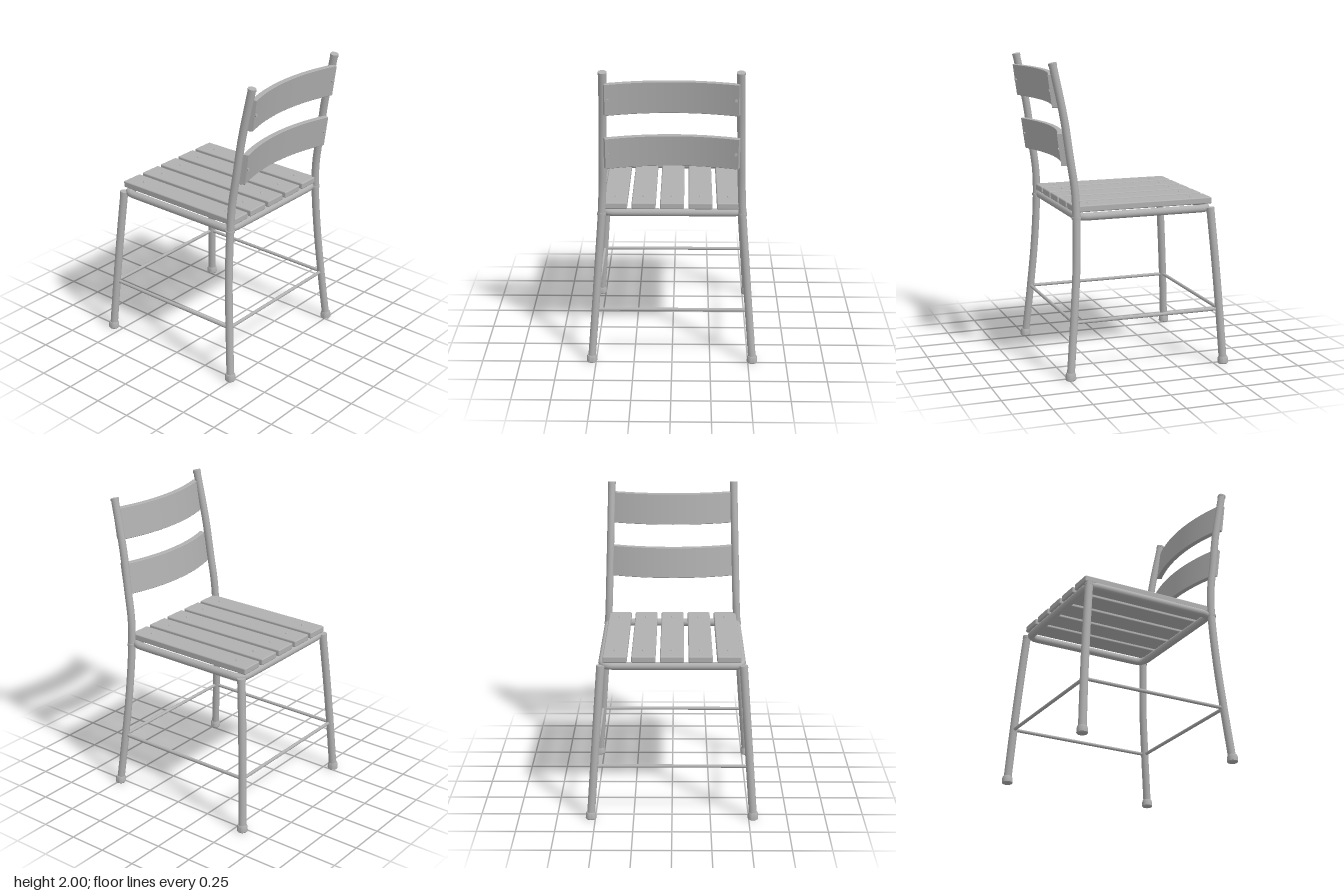
import * as THREE from 'three';
import { RoundedBoxGeometry } from 'three/addons/geometries/RoundedBoxGeometry.js';
import { toCreasedNormals } from 'three/addons/utils/BufferGeometryUtils.js';

const V = (x, y, z) => new THREE.Vector3(x, y, z);
const UP = V(0, 1, 0);

export function createModel() {
  const chair = new THREE.Group();
  chair.name = 'chair';
  const grey = new THREE.MeshStandardMaterial({ color: 0xb0b0b0 });
  grey.name = 'grey';

  const add = (name, geometry, position) => {
    const mesh = new THREE.Mesh(geometry, grey);
    mesh.name = name;
    if (position) mesh.position.copy(position);
    chair.add(mesh);
    return mesh;
  };

  // Straight cylinder between two points
  const rod = (name, a, b, r, sides = 20) => {
    const mesh = add(name, new THREE.CylinderGeometry(r, r, a.distanceTo(b), sides), a.clone().lerp(b, 0.5));
    mesh.quaternion.setFromUnitVectors(UP, b.clone().sub(a).normalize());
    return mesh;
  };

  // Bent tube leg with a rubber foot and an end cap
  const leg = (name, points, r) => {
    const curve = new THREE.CatmullRomCurve3(points);
    add(name, new THREE.TubeGeometry(curve, 48, r, 20));
    const p = points[0];
    const profile = [[0, 0], [0.03, 0], [0.035, 0.006], [0.034, 0.034], [0.029, 0.048], [0.02, 0.048]];
    const foot = new THREE.LatheGeometry(profile.map(([x, y]) => new THREE.Vector2(x, y)), 24);
    add(name + 'Foot', toCreasedNormals(foot, 0.7), V(p.x, 0, p.z));
    const end = points[points.length - 1];
    rod(name + 'Cap', end.clone().addScaledVector(curve.getTangent(1), -0.016), end, r + 0.002, 24);
  };

  for (const s of [1, -1]) {
    const side = s > 0 ? 'left' : 'right';
    leg(side + 'FrontLeg', [
      V(-0.56, 0.02, 0.528 * s), V(-0.54, 0.36, 0.503 * s), V(-0.516, 0.7, 0.478 * s), V(-0.488, 1.035, 0.453 * s),
    ], 0.026);
    leg(side + 'BackPost', [
      V(0.49, 0.02, 0.528 * s), V(0.458, 0.36, 0.5 * s), V(0.431, 0.7, 0.474 * s), V(0.421, 1.02, 0.449 * s),
      V(0.427, 1.2, 0.44 * s), V(0.455, 1.4, 0.434 * s), V(0.49, 1.65, 0.426 * s), V(0.56, 1.994, 0.417 * s),
    ], 0.025);
    rod(side + 'PostCollar', V(0.421, 1.016, 0.449 * s), V(0.421, 1.032, 0.449 * s), 0.029, 24);
    rod(side + 'Stretcher', V(-0.54, 0.365, 0.5 * s), V(0.458, 0.365, 0.5 * s), 0.011);
  }
  for (const [name, x] of [['frontStretcher', -0.54], ['backStretcher', 0.458]]) {
    rod(name, V(x, 0.365, -0.5), V(x, 0.365, 0.5), 0.011);
  }

  // Rounded tube frame below the seat
  const [x0, x1, z, c] = [-0.481, 0.412, 0.446, 0.07];
  const frame = new THREE.CurvePath();
  const corners = [V(x0, 1.03, -z), V(x1, 1.03, -z), V(x1, 1.03, z), V(x0, 1.03, z)];
  corners.forEach((p, i) => {
    const toward = (q) => p.clone().addScaledVector(q.clone().sub(p).normalize(), c);
    const previous = corners[(i + 3) % 4], next = corners[(i + 1) % 4];
    const exit = toward(next);
    frame.add(new THREE.QuadraticBezierCurve3(toward(previous), p, exit));
    frame.add(new THREE.LineCurve3(exit, next.clone().addScaledVector(p.clone().sub(next).normalize(), c)));
  });
  add('seatFrame', new THREE.TubeGeometry(frame, 160, 0.025, 16, true));

  // Seat slats, each with two screw heads
  for (let i = -2; i <= 2; i++) {
    const sz = i * 0.181;
    add('seatSlat', new RoundedBoxGeometry(0.937, 0.043, 0.153, 2, 0.008), V(-0.037, 1.078, sz));
    for (const sx of [-0.386, 0.314]) {
      const head = new THREE.SphereGeometry(0.011, 16, 6, 0, Math.PI * 2, 0, Math.PI / 2);
      add('seatScrew', head, V(sx, 1.098, sz)).scale.y = 0.8;
    }
  }

  // Backrest slats fixed behind the posts and bowed toward the seat
  const backSlat = (name, x, y, halfAngle) => {
    const outer = 1.27, inner = 1.24, h = 0.207, bevel = 0.003, slope = 0.135;
    const shape = new THREE.Shape();
    shape.absarc(outer, 0, outer, Math.PI - halfAngle, Math.PI + halfAngle, false);
    shape.absarc(outer, 0, inner, Math.PI + halfAngle, Math.PI - halfAngle, true);
    shape.closePath();
    const geometry = new THREE.ExtrudeGeometry(shape, {
      depth: h - 2 * bevel, curveSegments: 32, bevelThickness: bevel, bevelSize: bevel, bevelSegments: 1,
    });
    geometry.rotateX(-Math.PI / 2);
    // Lean the slat back with the posts
    const pos = geometry.attributes.position;
    for (let i = 0; i < pos.count; i++) pos.setX(i, pos.getX(i) + pos.getY(i) * slope);
    add(name, toCreasedNormals(geometry, 0.5), V(x, y + bevel, 0));
    // Screw heads on the back of both ends
    for (const s of [1, -1]) {
      const a = halfAngle - 0.012;
      const p = V(x + outer - inner * Math.cos(a) + slope * h / 2, y + h / 2, s * inner * Math.sin(a));
      rod(name + 'Screw', p, p.clone().add(V(0.011, 0, 0)), 0.009, 16);
    }
  };
  backSlat('lowerBackSlat', 0.402, 1.353, 0.337);
  backSlat('upperBackSlat', 0.458, 1.716, 0.333);

  return chair;
}
